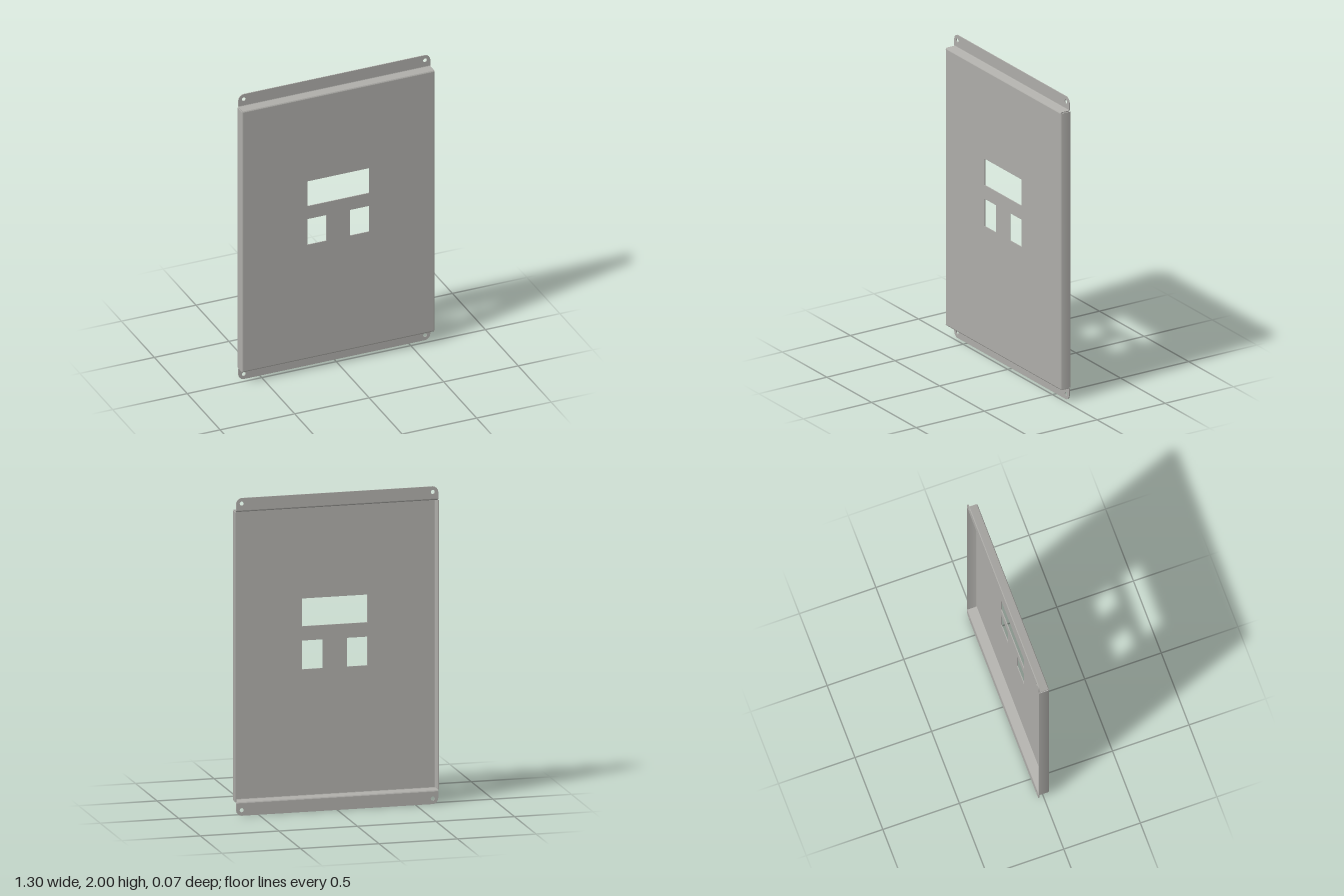
import * as THREE from 'three';
import { toCreasedNormals } from 'three/addons/utils/BufferGeometryUtils.js';

const W = 0.648;            // half width over the side flanges
const TAB = 0.643;          // half width of the mounting strips
const FRONT = 0.034, BACK = -0.034;
const SHELF = 1.918;        // top of the upper fold
const T = 0.006, R = 0.011; // sheet thickness and outer bend radius

export function createModel() {
  const model = new THREE.Group();
  model.name = 'sheetMetalPanel';
  const steel = new THREE.MeshStandardMaterial({ color: 0xaeada9 });
  steel.name = 'grey steel';

  const extrude = (shape, depth) =>
    new THREE.ExtrudeGeometry(shape, { depth, bevelEnabled: false, curveSegments: 10 });
  const add = (parent, name, geometry) => {
    const mesh = new THREE.Mesh(toCreasedNormals(geometry, 0.6), steel);
    mesh.name = name;
    parent.add(mesh);
    return mesh;
  };
  const rect = (path, x0, y0, x1, y1) =>
    path.moveTo(x0, y0).lineTo(x1, y0).lineTo(x1, y1).lineTo(x0, y1).closePath();

  // Front sheet with one wide and two small cut-outs
  const face = new THREE.Shape();
  rect(face, -W + R, 2 - SHELF + R, W - R, SHELF - R);
  for (const [x0, y0, x1, y1] of [
    [-0.209, 1.155, 0.206, 1.33],
    [-0.209, 0.884, -0.08, 1.065],
    [0.076, 0.884, 0.206, 1.065],
  ]) {
    const hole = new THREE.Path();
    rect(hole, x0, y0, x1, y1);
    face.holes.push(hole);
  }
  add(model, 'frontSheet', extrude(face, T).translate(0, 0, FRONT - T));

  // Side flanges folded backwards
  const side = new THREE.Shape();
  side.moveTo(W - R, FRONT);
  side.absarc(W - R, FRONT - R, R, Math.PI / 2, 0, true);
  side.lineTo(W, BACK);
  side.lineTo(W - T, BACK);
  side.absarc(W - R, FRONT - R, R - T, 0, Math.PI / 2, false);
  side.closePath();
  const sideLength = 1.822;
  for (const turn of [0, Math.PI]) {
    const geometry = extrude(side, sideLength).translate(0, 0, -sideLength / 2).rotateX(Math.PI / 2);
    // Mirror the left flange across x and restore the corner order
    if (turn) {
      geometry.scale(-1, 1, 1);
      for (const attribute of Object.values(geometry.attributes)) {
        const n = attribute.itemSize;
        for (let i = 0; i < attribute.count; i += 3)
          for (let k = 0; k < n; k++) {
            const a = (i + 1) * n + k, b = (i + 2) * n + k;
            [attribute.array[a], attribute.array[b]] = [attribute.array[b], attribute.array[a]];
          }
      }
    }
    add(model, turn ? 'rightFlange' : 'leftFlange', geometry).position.y = 1;
  }

  // S-shaped fold profile: front bend, shelf, rear bend
  const lipStart = SHELF - T + R;
  const fold = new THREE.Shape();
  fold.moveTo(FRONT, SHELF - R);
  fold.absarc(FRONT - R, SHELF - R, R, 0, Math.PI / 2, false);
  fold.lineTo(BACK + R, SHELF);
  fold.absarc(BACK + R, lipStart, R - T, -Math.PI / 2, -Math.PI, true);
  fold.lineTo(BACK, lipStart);
  fold.absarc(BACK + R, lipStart, R, Math.PI, Math.PI * 1.5, false);
  fold.lineTo(FRONT - R, SHELF - T);
  fold.absarc(FRONT - R, SHELF - R, R - T, Math.PI / 2, 0, true);
  fold.closePath();

  // Mounting lip with rounded outer corners and screw holes
  const c = 0.038;
  const lip = new THREE.Shape();
  lip.moveTo(-TAB, lipStart);
  lip.lineTo(TAB, lipStart);
  lip.lineTo(TAB, 2 - c);
  lip.absarc(TAB - c, 2 - c, c, 0, Math.PI / 2, false);
  lip.lineTo(-TAB + c, 2);
  lip.absarc(-TAB + c, 2 - c, c, Math.PI / 2, Math.PI, false);
  lip.closePath();
  for (const s of [-1, 1]) {
    lip.holes.push(new THREE.Path().absarc(s * 0.608, 1.965, 0.013, 0, Math.PI * 2, false));
  }

  // The lower mount is the upper one turned half a circle
  for (const name of ['topMount', 'bottomMount']) {
    const mount = new THREE.Group();
    mount.name = name;
    add(mount, 'fold', extrude(fold, TAB * 2).translate(0, 0, -TAB).rotateY(-Math.PI / 2));
    add(mount, 'lip', extrude(lip, T).translate(0, 0, BACK));
    if (name === 'bottomMount') {
      mount.rotation.z = Math.PI;
      mount.position.y = 2;
    }
    model.add(mount);
  }
  return model;
}
